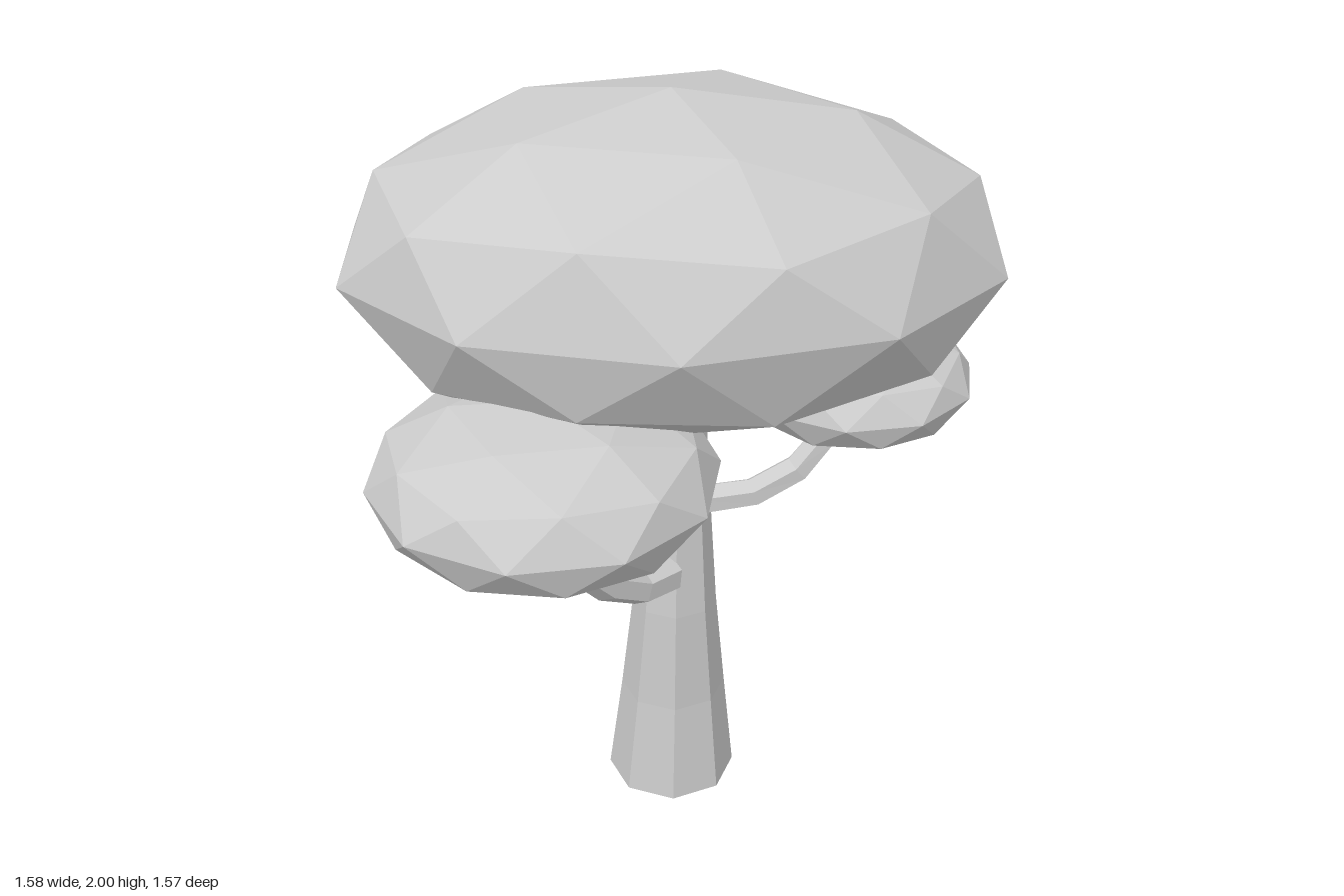
import * as THREE from 'three';

const grey = () => new THREE.MeshStandardMaterial({ color: 0xcccccc, flatShading: true });

// Faceted leaf cluster: icosphere with a vertex at the top, turned about y, then stretched
function leafCluster(name, centre, size, turnDegrees) {
  const geometry = new THREE.IcosahedronGeometry(1, 1);
  geometry.rotateZ(-Math.atan2(1, (1 + Math.sqrt(5)) / 2));
  geometry.rotateY(THREE.MathUtils.degToRad(turnDegrees));
  geometry.scale(...size);
  const mesh = new THREE.Mesh(geometry, grey());
  mesh.name = name;
  mesh.position.set(...centre);
  return mesh;
}

// Tapered limb: a cylinder whose rings are moved onto path points [x, y, z, radius]
function limb(name, path, sides, upright = false) {
  const last = path.length - 1;
  const points = path.map(([x, y, z]) => new THREE.Vector3(x, y, z));
  const up = new THREE.Vector3(0, 1, 0);
  const side = upright
    ? new THREE.Vector3(1, 0, 0)
    : points[last].clone().sub(points[0]).cross(up).normalize();
  const frames = points.map((p, i) => {
    const along = upright
      ? up
      : points[Math.min(i + 1, last)].clone().sub(points[Math.max(i - 1, 0)]).normalize();
    const across = side.clone().cross(along).normalize();
    return { p, across, radius: path[i][3] };
  });

  const geometry = new THREE.CylinderGeometry(1, 1, 1, sides, last);
  const position = geometry.attributes.position;
  const v = new THREE.Vector3();
  for (let i = 0; i < position.count; i++) {
    v.fromBufferAttribute(position, i);
    const { p, across, radius } = frames[Math.round((v.y + 0.5) * last)];
    const moved = p.clone()
      .addScaledVector(side, v.x * radius)
      .addScaledVector(across, v.z * radius);
    position.setXYZ(i, moved.x, moved.y, moved.z);
  }
  geometry.computeVertexNormals();
  const mesh = new THREE.Mesh(geometry, grey());
  mesh.name = name;
  return mesh;
}

export function createModel() {
  const tree = new THREE.Group();
  tree.name = 'tree';

  // Gently curved trunk, ending inside the crown
  tree.add(limb('trunk', [
    [0, 0, -0.06, 0.175],
    [0.005, 0.29, -0.055, 0.142],
    [0.008, 0.59, -0.033, 0.112],
    [0.012, 0.9, -0.037, 0.09],
    [0.015, 1.25, -0.065, 0.07],
  ], 8, true));

  // Three branches curving up into the small clusters
  tree.add(limb('frontBranch', [
    [-0.01, 0.72, 0.05, 0.052],
    [-0.09, 0.735, 0.135, 0.05],
    [-0.17, 0.795, 0.205, 0.05],
    [-0.245, 0.9, 0.275, 0.046],
    [-0.29, 1.02, 0.315, 0.042],
    [-0.31, 1.15, 0.34, 0.038],
  ], 6));
  tree.add(limb('leftBranch', [
    [0.07, 0.89, -0.035, 0.042],
    [0.215, 0.905, -0.045, 0.04],
    [0.33, 0.97, -0.055, 0.039],
    [0.405, 1.06, -0.075, 0.036],
    [0.45, 1.16, -0.1, 0.033],
  ], 6));
  tree.add(limb('backBranch', [
    [-0.03, 0.88, -0.09, 0.042],
    [-0.1, 0.9, -0.21, 0.04],
    [-0.17, 0.965, -0.32, 0.038],
    [-0.225, 1.06, -0.39, 0.036],
    [-0.255, 1.18, -0.43, 0.033],
  ], 6));

  // Main crown and the small clusters around it
  tree.add(leafCluster('mainCrown', [0, 1.59, -0.06], [0.83, 0.41, 0.625], 0));
  tree.add(leafCluster('frontCluster', [-0.31, 1.21, 0.37], [0.42, 0.2, 0.42], 170));
  tree.add(leafCluster('leftCluster', [0.475, 1.2, -0.145], [0.315, 0.147, 0.32], 170));
  tree.add(leafCluster('backCluster', [-0.3, 1.285, -0.49], [0.395, 0.195, 0.3], 170));

  return tree;
}
